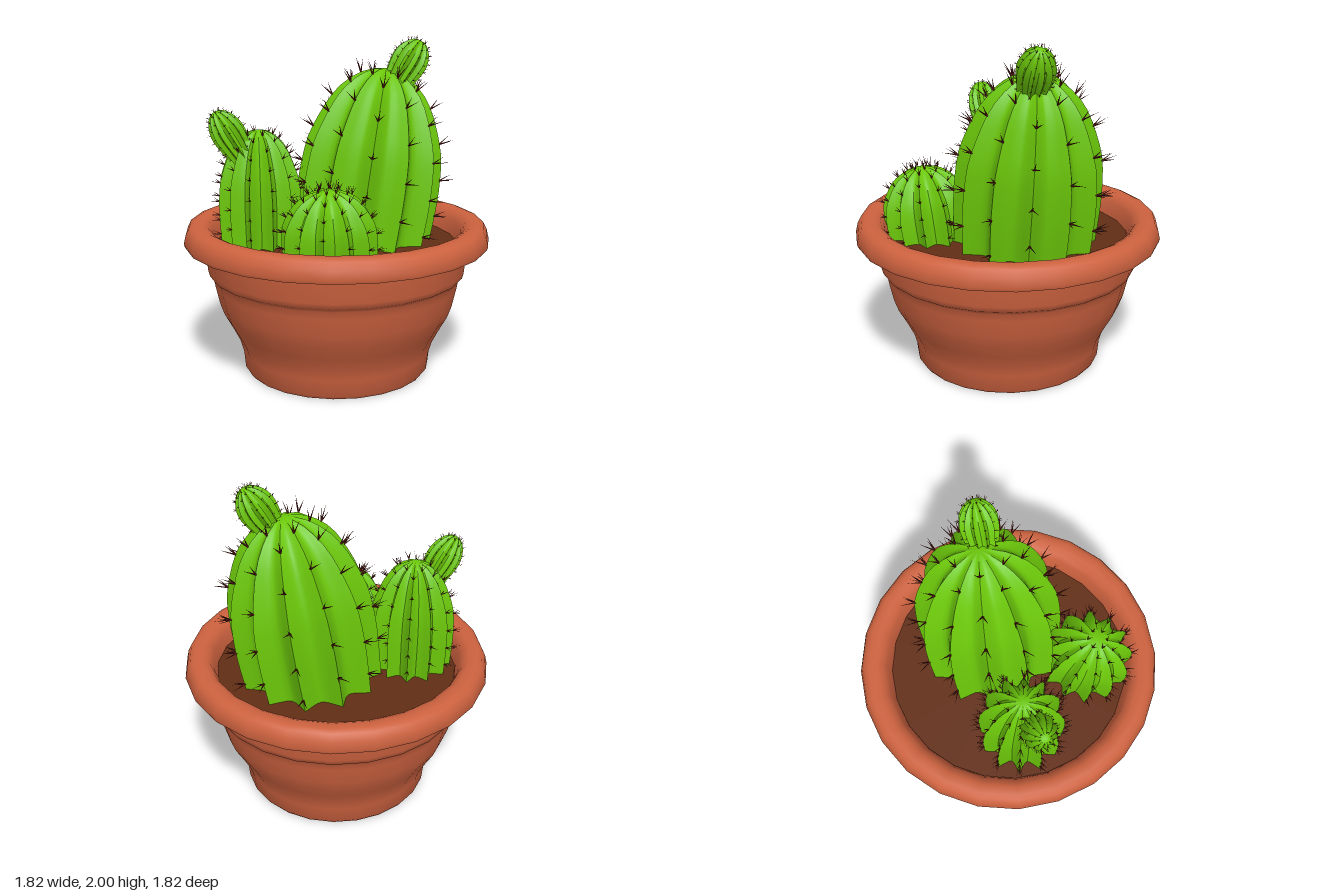
import * as THREE from 'three';
import { mergeGeometries, toCreasedNormals } from 'three/addons/utils/BufferGeometryUtils.js';

const mat = (color, side = THREE.FrontSide) => new THREE.MeshStandardMaterial({ color, side });
const clay = mat(0xcd623f);
const earth = mat(0x622e15);
const green = mat(0x6cc80a, THREE.DoubleSide);
const thorn = mat(0x6b2018);

const v2 = (list) => list.map(([r, y]) => new THREE.Vector2(r, y));
// Unit outlines: radius, height along the axis
const barrel = [[0.96, 0], [1, 0.3], [0.985, 0.48], [0.925, 0.62], [0.72, 0.81], [0.52, 0.91], [0.26, 0.98], [0, 1]];
const club = [[0.68, 0], [0.82, 0.28], [0.98, 0.55], [0.97, 0.7], [0.8, 0.84], [0.5, 0.95], [0.24, 0.99], [0, 1]];

function mesh(name, geometry, material) {
  const m = new THREE.Mesh(geometry, material);
  m.name = name;
  return m;
}

// Fan of thin spikes for each spot on the ridges
function spineGeometry(curve, ribs, gap, length) {
  const parts = [];
  const total = curve.getLength();
  const up = new THREE.Vector3(0, 1, 0);
  for (let i = 0; i < ribs; i++) {
    const a = (i / ribs) * Math.PI * 2;
    const side = new THREE.Vector3(Math.cos(a), 0, -Math.sin(a));
    for (let s = gap * (i % 2 ? 0.9 : 1.35); s < total * 0.96; s += gap) {
      const p = curve.getPointAt(s / total);
      const t = curve.getTangentAt(s / total);
      const radial = (r, y) => new THREE.Vector3(Math.sin(a) * r, y, Math.cos(a) * r);
      const foot = radial(p.x * 0.985, p.y);
      const normal = radial(t.y, -t.x);
      const along = radial(t.x, t.y);
      for (const [u, w, k] of [[0.1, 0.35, 1.1], [0.15, -0.4, 0.9], [0.65, 0.05, 0.9]]) {
        const dir = normal.clone().addScaledVector(along, u).addScaledVector(side, w).normalize();
        const g = new THREE.ConeGeometry(length * 0.06, length * k, 4, 1, true);
        g.translate(0, length * k * 0.5, 0);
        g.applyQuaternion(new THREE.Quaternion().setFromUnitVectors(up, dir));
        g.translate(foot.x, foot.y, foot.z);
        parts.push(g);
      }
    }
  }
  return mergeGeometries(parts);
}

// Ribbed body: a lathe pulled in between sharp ridges
function cactus({ name, outline, radius, height, ribs, depth, gap, spine, at, lean, turn = 0 }) {
  const curve = new THREE.SplineCurve(v2(outline.map(([r, y]) => [r * radius, y * height])));
  const points = curve.getSpacedPoints(18);
  points[18].x = 0;
  const body = new THREE.LatheGeometry(points, ribs * 6);
  const pos = body.attributes.position;
  for (let i = 0; i < pos.count; i++) {
    const x = pos.getX(i), z = pos.getZ(i);
    const k = 1 - depth * Math.abs(Math.sin(Math.atan2(x, z) * ribs / 2));
    pos.setX(i, x * k);
    pos.setZ(i, z * k);
  }
  const spun = new THREE.Group();
  spun.rotation.y = turn;
  spun.add(mesh(name + 'Body', toCreasedNormals(body, 0.7), green));
  spun.add(mesh(name + 'Spines', spineGeometry(curve, ribs, gap, spine), thorn));
  const group = new THREE.Group();
  group.name = name;
  group.position.set(...at);
  group.rotation.set(lean[0], 0, lean[1]);
  group.add(spun);
  return group;
}

export function createModel() {
  const model = new THREE.Group();
  model.name = 'pottedCacti';

  // Pot with a soft collar and a thin overhanging rim, hollow underneath
  const profile = v2([
    [0, 0], [0.55, 0], [0.565, 0.02], [0.575, 0.12], [0.595, 0.19], [0.635, 0.27], [0.685, 0.36],
    [0.71, 0.43], [0.735, 0.54], [0.743, 0.585], [0.752, 0.598], [0.766, 0.608], [0.775, 0.64],
    [0.79, 0.79], [0.8, 0.87], [0.85, 0.875], [0.88, 0.84], [0.893, 0.79], [0.905, 0.79],
    [0.912, 0.81], [0.9, 0.86], [0.88, 0.9], [0.85, 0.912], [0.8, 0.912],
    [0.765, 0.895], [0.745, 0.86], [0.725, 0.8], [0.71, 0.7],
  ]);
  const pot = mesh('pot', toCreasedNormals(new THREE.LatheGeometry(profile, 24), 0.9), clay);
  pot.rotation.y = -0.045;
  model.add(pot);

  const soil = mesh('soil', new THREE.CircleGeometry(0.725, 24).rotateX(-Math.PI / 2), earth);
  soil.position.y = 0.78;
  soil.rotation.y = -0.045;
  model.add(soil);

  // Three main cacti
  model.add(cactus({
    name: 'largeCactus', outline: barrel, radius: 0.428, height: 1.135, ribs: 12, depth: 0.21,
    gap: 0.22, spine: 0.09, at: [0.15, 0.68, -0.045], lean: [0, -0.15], turn: 0.19,
  }));
  model.add(cactus({
    name: 'mediumCactus', outline: barrel, radius: 0.25, height: 0.71, ribs: 12, depth: 0.27,
    gap: 0.115, spine: 0.055, at: [-0.443, 0.75, -0.092], lean: [0, 0.01], turn: 0.1,
  }));
  model.add(cactus({
    name: 'smallCactus', outline: barrel, radius: 0.268, height: 0.47, ribs: 12, depth: 0.24,
    gap: 0.095, spine: 0.055, at: [-0.155, 0.73, 0.43], lean: [0.11, 0.06], turn: 0.15,
  }));

  // Buds on the shoulders of the two tall ones
  model.add(cactus({
    name: 'largeCactusBud', outline: club, radius: 0.11, height: 0.37, ribs: 12, depth: 0.22,
    gap: 0.05, spine: 0.024, at: [0.325, 1.645, -0.005], lean: [0.05, -0.54],
  }));
  model.add(cactus({
    name: 'mediumCactusBud', outline: club, radius: 0.1, height: 0.4, ribs: 12, depth: 0.22,
    gap: 0.05, spine: 0.022, at: [-0.5, 1.23, -0.07], lean: [0, 0.54],
  }));
  return model;
}
